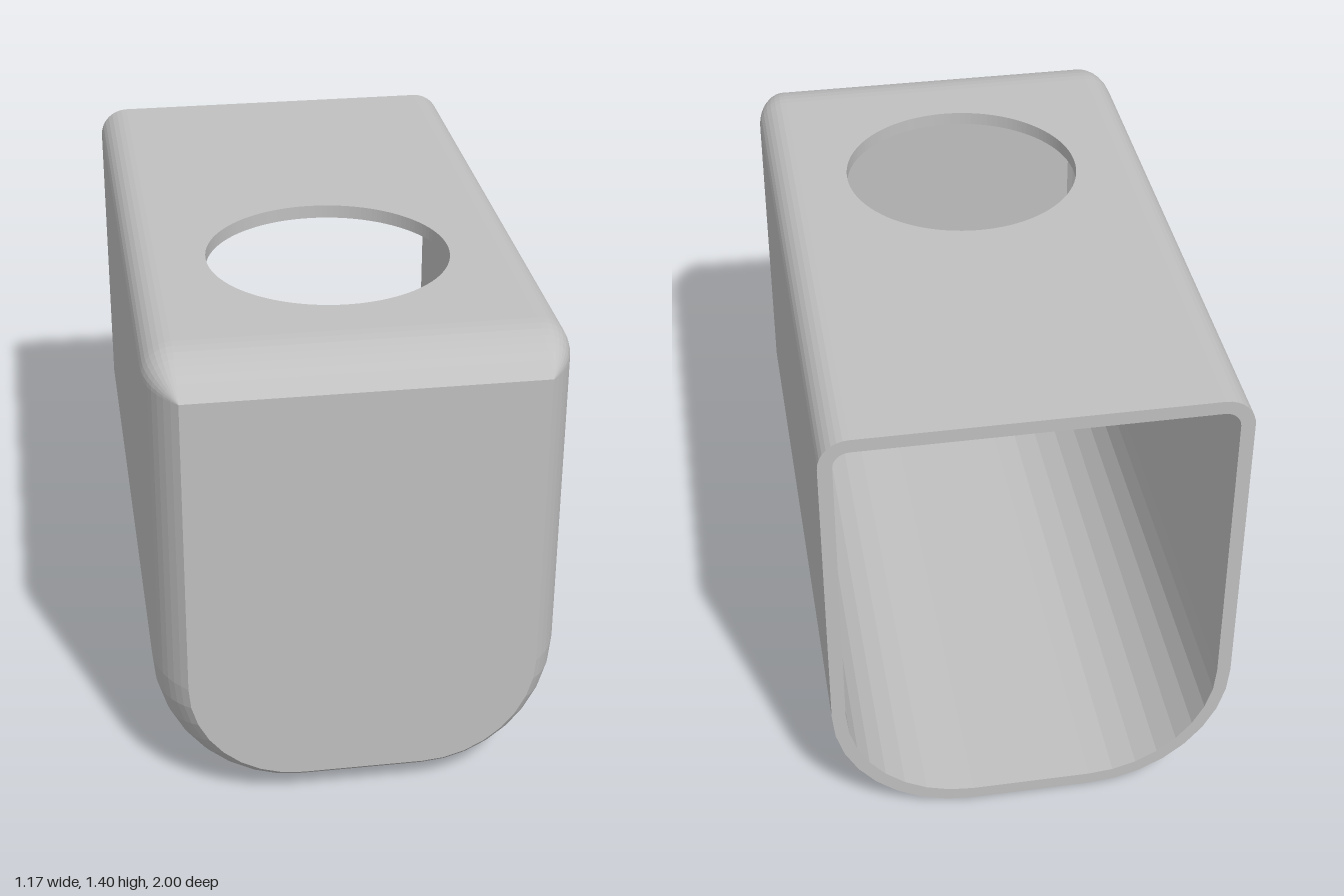
import * as THREE from 'three';

const W = 0.585, H = 1.4, R_TOP = 0.087, R_LOW = 0.41;
const WALL = 0.04, Z_BACK = -1, Z_BEVEL = 0.8, Z_FRONT = 1;
const BEVEL_R = 0.274, SEG = 8;

// Outline of the housing, inset by d, counterclockwise from the upper +x corner
function outline(d) {
  const w = W - d, top = H - d;
  const rt = Math.max(R_TOP - d, 0.001), rl = R_LOW - d;
  const corners = [
    [w - rt, top - rt, rt], [-w + rt, top - rt, rt],
    [-w + rl, d + rl, rl], [w - rl, d + rl, rl],
  ];
  const pts = [];
  corners.forEach(([cx, cy, r], q) => {
    for (let i = 0; i <= SEG; i++) {
      const a = (q + i / SEG) * Math.PI / 2;
      pts.push(new THREE.Vector2(cx + r * Math.cos(a), cy + r * Math.sin(a)));
    }
  });
  return pts;
}

// Rounded nose: pairs of [inset, z] from the straight walls to the front
function nose(radius, depth, offset) {
  const max = Math.asin(depth / radius), rings = [];
  for (let i = 0; i <= SEG; i++) {
    const a = max * i / SEG;
    rings.push([offset + radius * (1 - Math.cos(a)), Z_BEVEL + radius * Math.sin(a)]);
  }
  return rings;
}

export function createModel() {
  const group = new THREE.Group();
  const grey = new THREE.MeshStandardMaterial({ color: 0xc0c0c0, flatShading: true });
  grey.name = 'light grey';
  const add = (name, geometry) => {
    const mesh = new THREE.Mesh(geometry, grey);
    mesh.name = name;
    group.add(mesh);
    return mesh;
  };

  // Walls: outside from front to back, over the rim, then inside to the front
  const outer = nose(BEVEL_R, Z_FRONT - Z_BEVEL, 0).reverse();
  const inner = nose(BEVEL_R - WALL, Z_FRONT - WALL - Z_BEVEL, WALL);
  const rings = [...outer, [0, Z_BACK], [WALL, Z_BACK], ...inner];
  const loops = rings.map(([d, z]) => outline(d).map(p => [p.x, p.y, z]));
  const pos = [];
  for (let k = 0; k < loops.length - 1; k++) {
    const straight = k >= SEG && k <= SEG + 2;
    const n = loops[k].length;
    for (let j = 0; j < n; j++) {
      if (straight && j === SEG) continue; // left open for the top panel
      const a = loops[k][j], b = loops[k][(j + 1) % n];
      const c = loops[k + 1][(j + 1) % n], d = loops[k + 1][j];
      pos.push(...a, ...d, ...c, ...a, ...c, ...b);
    }
  }
  const walls = new THREE.BufferGeometry();
  walls.setAttribute('position', new THREE.Float32BufferAttribute(pos, 3));
  walls.computeVertexNormals();
  add('housingWalls', walls);

  // Front plate, outer and inner face
  add('frontFace', new THREE.ShapeGeometry(new THREE.Shape(outline(outer[0][0]))))
    .position.z = Z_FRONT;
  const innerFace = add('frontInnerFace',
    new THREE.ShapeGeometry(new THREE.Shape(outline(inner[SEG][0]))));
  innerFace.rotation.y = Math.PI;
  innerFace.position.z = Z_FRONT - WALL;

  // Top panel with the round opening
  const half = W - R_TOP;
  const panel = new THREE.Shape([
    new THREE.Vector2(-half, Z_BACK), new THREE.Vector2(half, Z_BACK),
    new THREE.Vector2(half, Z_BEVEL), new THREE.Vector2(-half, Z_BEVEL),
  ]);
  panel.holes.push(new THREE.Path().absarc(0, 0.29, 0.354, 0, Math.PI * 2, true));
  const panelGeo = new THREE.ExtrudeGeometry(panel,
    { depth: WALL, bevelEnabled: false, curveSegments: 64 });
  panelGeo.rotateX(Math.PI / 2).translate(0, H, 0);
  add('topPanel', panelGeo);

  // Two small tabs under the top panel
  for (const side of [-1, 1]) {
    add(side > 0 ? 'leftTab' : 'rightTab', new THREE.BoxGeometry(0.08, 0.18, 0.17))
      .position.set(side * 0.115, 1.28, -0.585);
  }
  return group;
}
